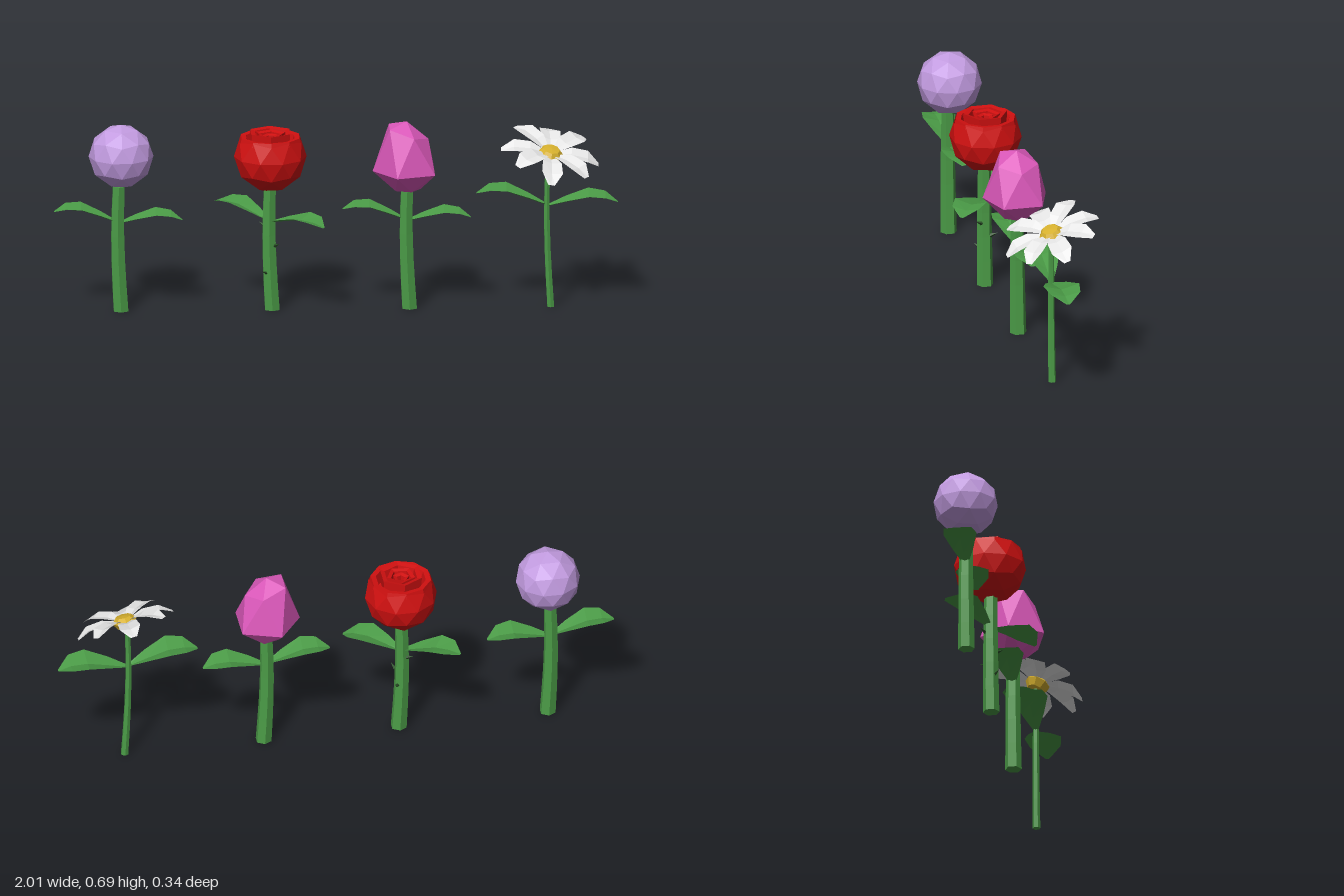
import * as THREE from 'three';
import { ConvexGeometry } from 'three/addons/geometries/ConvexGeometry.js';

function material(name, color, side = THREE.FrontSide) {
  const m = new THREE.MeshStandardMaterial({ color, side });
  m.name = name;
  return m;
}

// Faceted normals: every triangle gets its own
function flat(geometry) {
  const g = geometry.index ? geometry.toNonIndexed() : geometry;
  g.computeVertexNormals();
  return g;
}

function mesh(name, geometry, mat, parent) {
  const m = new THREE.Mesh(flat(geometry), mat);
  m.name = name;
  parent.add(m);
  return m;
}

// Folded blade along +x; rows are [distance, height, half width, edge lift]
function blade(rows, scale = 1) {
  const pos = [], index = [];
  rows.forEach(([d, y, w, lift], i) => {
    for (const s of [-1, 0, 1]) pos.push(d * scale, (y + lift * s * s) * scale, w * s * scale);
    if (i === 0) return;
    for (let k = 0; k < 2; k++) {
      const a = (i - 1) * 3 + k, b = a + 3;
      index.push(a, a + 1, b, a + 1, b + 1, b);
    }
  });
  const g = new THREE.BufferGeometry();
  g.setAttribute('position', new THREE.Float32BufferAttribute(pos, 3));
  g.setIndex(index);
  return g;
}

function lathe(points, sides, phase = 0) {
  return new THREE.LatheGeometry(points.map(p => new THREE.Vector2(...p)), sides, phase);
}

// Six-sided stem that bows gently towards -x
function stemGeometry(height, bottom, top, bow) {
  const g = new THREE.CylinderGeometry(top, bottom, height, 6, 5);
  g.translate(0, height / 2, 0);
  const p = g.attributes.position;
  for (let i = 0; i < p.count; i++) {
    const t = p.getY(i) / height;
    p.setX(i, p.getX(i) - bow * Math.sin(t * 2.4));
  }
  return g;
}

// Icosphere with a corner pointing up
function facetedBall(radius) {
  return new THREE.IcosahedronGeometry(radius, 1).rotateX(-Math.atan((1 + Math.sqrt(5)) / 2));
}

// The same ball without its upper cap
function openBall(radius, limit) {
  const p = facetedBall(radius).attributes.position, kept = [];
  for (let i = 0; i < p.count; i += 3) {
    if ((p.getY(i) + p.getY(i + 1) + p.getY(i + 2)) / 3 > limit) continue;
    for (let k = i; k < i + 3; k++) kept.push(p.getX(k), p.getY(k), p.getZ(k));
  }
  const g = new THREE.BufferGeometry();
  g.setAttribute('position', new THREE.Float32BufferAttribute(kept, 3));
  return g;
}

const LEAF = [
  [0, 0, 0.008, 0.004], [0.06, 0.022, 0.036, 0.012], [0.13, 0.046, 0.06, 0.017],
  [0.185, 0.05, 0.05, 0.012], [0.228, 0.043, 0.006, 0],
];
const PETAL = [
  [0.03, 0, 0.015, 0.004], [0.075, 0.008, 0.034, 0.008],
  [0.135, 0.004, 0.038, 0.008], [0.178, -0.014, 0.012, 0],
];

export function createModel() {
  const model = new THREE.Group();
  model.name = 'flowers';
  const green = material('green', 0x4a9a46, THREE.DoubleSide);
  const thornGreen = material('dark green', 0x2c5029);
  const lavender = material('lavender', 0xc29be0);
  const red = material('red', 0xd01010, THREE.DoubleSide);
  const pink = material('pink', 0xdb58ba);
  const white = material('white', 0xececec, THREE.DoubleSide);
  const yellow = material('yellow', 0xd6b02e);

  // Stem with a pair of leaves, standing at x
  function plant(name, x, { height = 0.46, bottom = 0.03, top = 0.024, bow = 0.012,
    leafY = 0.325, leafScale = 1, turn = 0 } = {}) {
    const g = new THREE.Group();
    g.name = name;
    g.position.set(x, 0, -0.008);
    model.add(g);
    mesh('stem', stemGeometry(height, bottom, top, bow), green, g);
    const leaves = new THREE.Group();
    leaves.name = 'leaves';
    leaves.position.set(-bow, leafY, 0);
    leaves.rotation.y = turn;
    g.add(leaves);
    const right = mesh('rightLeaf', blade(LEAF, leafScale), green, leaves);
    right.rotation.y = Math.PI;
    const left = mesh('leftLeaf', blade(LEAF, leafScale), green, leaves);
    left.position.y = -0.005;
    left.rotation.z = -0.13;
    return g;
  }

  // Ball flower
  const ball = plant('ballFlower', -0.762);
  mesh('ballHead', facetedBall(0.116), lavender, ball).position.set(0, 0.57, -0.003);

  // Rose: cut ball, folded petal rings and a bud
  const rose = plant('rose', -0.222, { turn: -0.6 });
  const head = new THREE.Group();
  head.name = 'roseHead';
  head.position.set(-0.007, 0.565, -0.003);
  rose.add(head);
  mesh('outerPetals', openBall(0.13, 0.072), red, head);
  mesh('petalRim', lathe([[0.114, 0.055], [0.109, 0.073], [0.09, 0.071], [0.078, 0.03]], 10), red, head);
  [[0.08, 0.062, 0.09], [0.053, 0.038, 0.084], [0.03, 0.016, 0.076]].forEach(([outer, inner, y], i) => {
    mesh('petalRing', lathe([[outer * 0.95, 0.02], [outer, y], [inner, y - 0.004],
      [inner * 0.85, 0.035]], 6 - Math.min(i, 1), i * 0.5), red, head);
  });
  mesh('roseFloor', new THREE.CylinderGeometry(0.08, 0.08, 0.01, 10), red, head).position.y = 0.03;

  // Thorns: x, y, z of the root and the heading around the stem
  [[-0.03, 0.305, -0.02, 2.5], [0.01, 0.19, -0.022, 1.2], [0.012, 0.24, 0.02, -1.1],
    [-0.022, 0.138, 0.018, -2.3]].forEach(([x, y, z, heading]) => {
    const thorn = mesh('thorn', new THREE.ConeGeometry(0.008, 0.03, 4).rotateZ(-1.15)
      .translate(0.008, 0.004, 0), thornGreen, rose);
    thorn.position.set(x, y, z);
    thorn.rotation.y = heading;
  });

  // Tulip: three staggered pentagons closing to a point
  const tulip = plant('tulip', 0.268);
  const points = [new THREE.Vector3(0, 0.69, 0)];
  for (let i = 0; i < 5; i++) {
    const a = i * Math.PI * 0.4, b = a + Math.PI / 5;
    const x = 0.077 * Math.cos(a);
    points.push(
      new THREE.Vector3(x, 0.65 - 0.32 * x, 0.077 * Math.sin(a)),
      new THREE.Vector3(0.122 * Math.cos(b), 0.507, 0.122 * Math.sin(b)),
      new THREE.Vector3(0.05 * Math.cos(a), 0.44, 0.05 * Math.sin(a)));
  }
  mesh('tulipHead', new ConvexGeometry(points), pink, tulip).position.set(-0.01, 0, 0.003);

  // Daisy: tilted disc with eight petals
  const daisy = plant('daisy', 0.772, { height: 0.545, bottom: 0.014, top: 0.01, bow: 0.014,
    leafY: 0.375, leafScale: 1.1 });
  const bloom = new THREE.Group();
  bloom.name = 'daisyHead';
  bloom.position.set(0, 0.568, 0.004);
  bloom.rotation.set(0.34, 0, -0.2);
  daisy.add(bloom);
  mesh('disc', lathe([[0, -0.032], [0.03, -0.026], [0.046, 0], [0.03, 0.017], [0, 0.02]], 8), yellow, bloom);
  for (let i = 0; i < 8; i++) {
    const petal = mesh('petal', blade(PETAL), white, bloom);
    petal.rotation.set(0, i * Math.PI / 4, i % 2 ? 0.1 : -0.02, 'YXZ');
  }
  return model;
}
